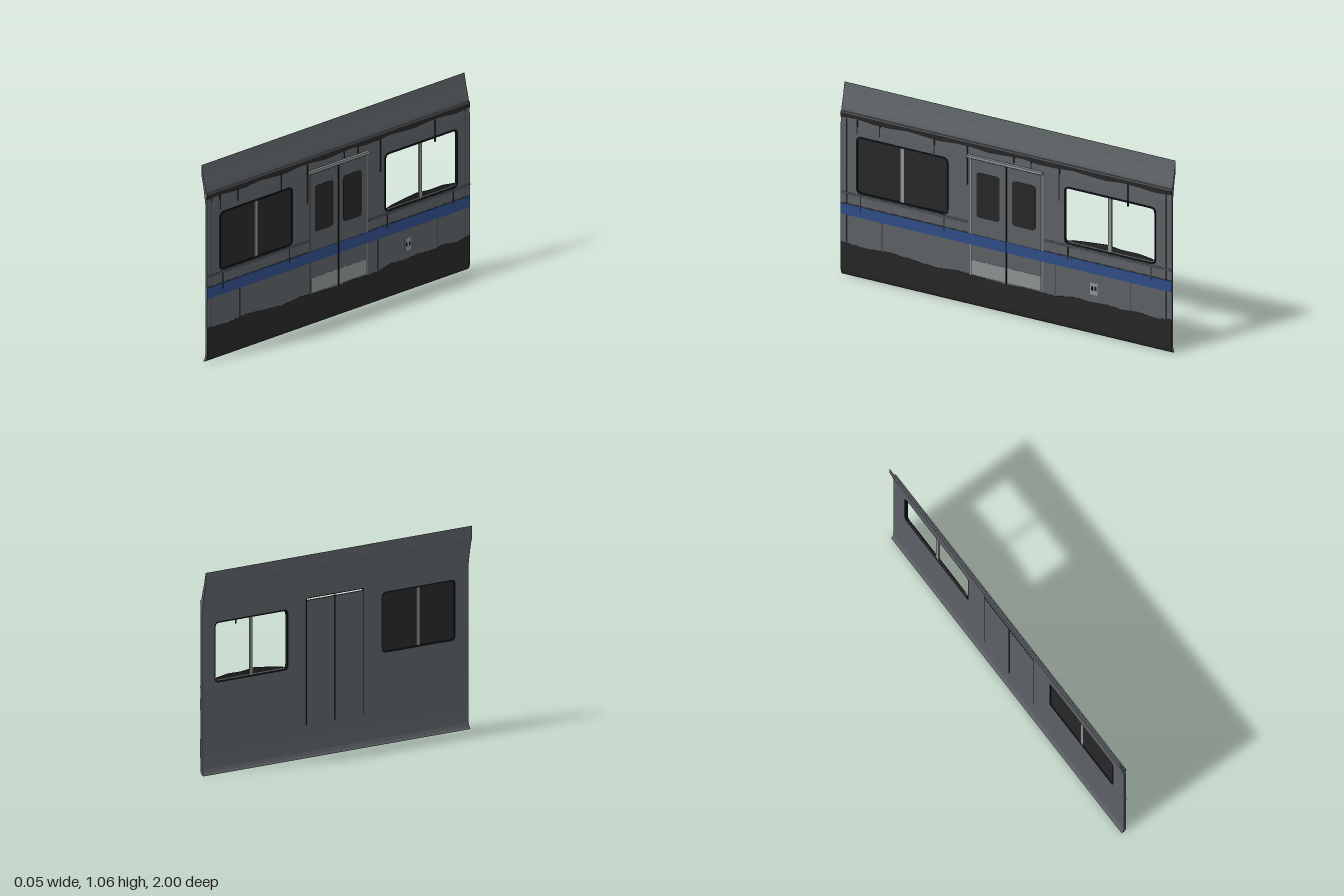
import * as THREE from 'three';

const mat = (name, color, side = THREE.FrontSide) => {
  const m = new THREE.MeshStandardMaterial({ color, side });
  m.name = name;
  return m;
};

export function createModel() {
  const body = mat('body grey', 0x5b6064);
  const dark = mat('grime', 0x262626);
  const glass = mat('dark glass', 0x272728);
  const black = mat('rubber black', 0x10161a);
  const blue = mat('stripe blue', 0x2f4c85);
  const light = mat('light metal', 0x8c9090);
  const seamMat = mat('seam grey', 0x34383a);

  const group = new THREE.Group();
  const add = (name, geo, material) => {
    const m = new THREE.Mesh(geo, material);
    m.name = name;
    group.add(m);
    return m;
  };

  // Side elevation helpers: u runs along the wall (u = -z), y is up, x is outward
  const box = (name, u0, u1, y0, y1, x0, x1, material) => {
    const g = new THREE.BoxGeometry(x1 - x0, y1 - y0, u1 - u0);
    g.translate((x0 + x1) / 2, (y0 + y1) / 2, -(u0 + u1) / 2);
    return add(name, g, material);
  };
  const plate = (name, shape, x0, x1, material) => {
    const g = new THREE.ExtrudeGeometry(shape, { depth: x1 - x0, bevelEnabled: false, curveSegments: 5 });
    g.rotateY(Math.PI / 2).translate(x0, 0, 0);
    return add(name, g, material);
  };
  const polygon = pts => new THREE.Shape(pts.map(p => new THREE.Vector2(p[0], p[1])));
  const rounded = (u0, u1, y0, y1, r, Type = THREE.Shape) => {
    const s = new Type();
    s.moveTo(u0 + r, y0);
    s.lineTo(u1 - r, y0).quadraticCurveTo(u1, y0, u1, y0 + r);
    s.lineTo(u1, y1 - r).quadraticCurveTo(u1, y1, u1 - r, y1);
    s.lineTo(u0 + r, y1).quadraticCurveTo(u0, y1, u0, y1 - r);
    s.lineTo(u0, y0 + r).quadraticCurveTo(u0, y0, u0 + r, y0);
    return s;
  };
  // Cross-section in x, y carried along the whole length
  const section = (name, pts, material) => {
    const g = new THREE.ExtrudeGeometry(polygon(pts), { depth: 2, bevelEnabled: false });
    return add(name, g.translate(0, 0, -1), material);
  };

  // Flat middle of the wall, with two window openings and a slot over the door
  const windows = [[-0.905, -0.35], [0.35, 0.905]];
  const wall = polygon([[-1, 0.1], [1, 0.1], [1, 0.84], [-1, 0.84]]);
  for (const [a, b] of windows) wall.holes.push(rounded(a, b, 0.472, 0.79, 0.03, THREE.Path));
  wall.holes.push(rounded(-0.212, 0.212, 0.817, 0.826, 0.001, THREE.Path));
  plate('wall', wall, 0, 0.011, body);

  // Curved roof edge and tucked-in lower lip
  section('roofEdge', [
    [0, 0.84], [0.011, 0.84], [0.008, 0.89], [0.002, 0.93], [-0.005, 0.96], [-0.015, 1.0], [-0.0265, 1.06],
    [-0.027, 1.06], [-0.027, 1.0], [-0.018, 0.96], [-0.011, 0.92], [-0.005, 0.88]], body);
  section('lowerLip', [
    [-0.016, 0], [-0.005, 0], [0.006, 0.012], [0.01, 0.03], [0.011, 0.1], [0, 0.1], [-0.002, 0.03], [-0.008, 0.012]], body);

  // Grime along the bottom, with an uneven upper edge
  section('lipGrime', [
    [-0.005, 0], [-0.004, 0], [0.0072, 0.011], [0.0112, 0.03], [0.012, 0.1],
    [0.011, 0.1], [0.01, 0.03], [0.006, 0.012]], dark);
  plate('lowerGrime', polygon([
    [-1, 0.1], [1, 0.1], [1, 0.19], [0.9, 0.175], [0.8, 0.187], [0.7, 0.178], [0.6, 0.185], [0.5, 0.178],
    [0.4, 0.186], [0.3, 0.165], [0.1, 0.17], [0, 0.163], [-0.15, 0.17], [-0.3, 0.178], [-0.42, 0.165],
    [-0.55, 0.175], [-0.7, 0.187], [-0.85, 0.176], [-1, 0.186]]), 0.011, 0.0121, dark);

  // Gutter and the stain beneath it
  box('gutter', -1, 1, 0.904, 0.912, 0.002, 0.013, body);
  const stain = [[-1, 0.904], [-1, 0.878]];
  for (let i = 1; i <= 20; i++) {
    stain.push([-1 + i * 0.1, 0.878 + 0.006 * Math.sin(i * 1.9)]);
  }
  stain.push([1, 0.904]);
  plate('gutterStain', polygon(stain), 0.005, 0.0112, dark);

  // Waist mouldings on both sides of the door
  for (const s of [-1, 1]) {
    const [a, b] = s < 0 ? [-1, -0.23] : [0.23, 1];
    box('waistMoulding', a, b, 0.459, 0.466, 0.01, 0.0145, body);
    box('waistShadow', a, b, 0.455, 0.459, 0.01, 0.013, seamMat);
    box('lowerMoulding', a, b, 0.401, 0.405, 0.01, 0.012, seamMat);
  }
  box('blueStripe', -1, 1, 0.34, 0.4, 0.01, 0.0128, blue);

  // Windows: rubber frame, centre bar and, on one side, the dark pane
  for (const [a, b] of windows) {
    const frame = rounded(a, b, 0.472, 0.79, 0.03);
    frame.holes.push(rounded(a + 0.008, b - 0.008, 0.481, 0.782, 0.024, THREE.Path));
    plate('windowFrame', frame, 0.001, 0.015, black);
    const mid = (a + b) / 2 + (a < 0 ? 0 : -0.002);
    box('windowBar', mid - 0.01, mid + 0.01, 0.48, 0.783, 0.003, 0.012, light);
  }
  plate('windowPane', rounded(-0.9, -0.355, 0.477, 0.785, 0.025), 0.005, 0.009, glass);
  box('windowSill', 0.375, 0.885, 0.481, 0.486, 0.003, 0.012, light);
  plate('sillDirt', polygon([
    [0.365, 0.487], [0.885, 0.487], [0.885, 0.497], [0.8, 0.508], [0.7, 0.507], [0.6, 0.516],
    [0.5, 0.507], [0.4, 0.496]]), 0.004, 0.008, dark);

  // Double door: panes, kick plates, outline and centre joint
  for (const s of [-1, 1]) {
    const [a, b] = s < 0 ? [-0.18, -0.04] : [0.036, 0.176];
    plate('doorPane', rounded(a, b, 0.5, 0.75, 0.02), 0.01, 0.0122, glass);
    const [k0, k1] = s < 0 ? [-0.208, -0.006] : [0.006, 0.208];
    box('kickPlate', k0, k1, 0.176, 0.256, 0.01, 0.0122, light);
    box('doorEdge', s * 0.216 - 0.003, s * 0.216 + 0.003, 0.17, 0.828, 0.01, 0.0125, light);
    box('doorEdgeSeam', s * 0.211 - 0.002, s * 0.211 + 0.002, 0.17, 0.815, 0.01, 0.0122, seamMat);
    box('innerDoorSeam', s * 0.215 - 0.002, s * 0.215 + 0.002, 0.17, 0.828, -0.0008, 0.001, black);
  }
  box('doorJoint', -0.004, 0.004, 0.165, 0.817, 0.01, 0.0132, black);
  box('innerDoorJoint', -0.003, 0.003, 0.17, 0.828, -0.0008, 0.001, black);
  box('innerDoorTop', -0.215, 0.215, 0.827, 0.83, -0.0008, 0.001, black);
  box('doorHood', -0.232, 0.225, 0.826, 0.841, 0.009, 0.027, light);

  // Panel seams: position along the wall, bottom, top
  const seams = [
    [-0.965, 0.18, 0.875], [0.965, 0.18, 0.875], [-0.75, 0.18, 0.34], [0.3, 0.17, 0.34], [0.75, 0.18, 0.34]];
  for (const [u, y0, y1] of seams) box('panelSeam', u - 0.002, u + 0.002, y0, y1, 0.006, 0.0122, seamMat);

  // Dirt runs below the gutter and the window corners
  const runs = [
    [-0.9, 0.8, 0.88], [-0.765, 0.815, 0.88], [-0.435, 0.79, 0.88], [-0.235, 0.67, 0.88], [0.045, 0.845, 0.88],
    [0.15, 0.84, 0.88], [0.32, 0.7, 0.88], [0.735, 0.76, 0.88], [-0.88, 0.37, 0.46],
    [-0.375, 0.38, 0.46], [0.372, 0.38, 0.46], [0.875, 0.38, 0.46]];
  for (const [u, y0, y1] of runs) box('dirtRun', u - 0.003, u + 0.003, y0, y1, 0.007, 0.0135, dark);

  // Small service panel
  box('servicePanel', 0.508, 0.552, 0.222, 0.29, 0.01, 0.0125, light);
  for (const u of [0.519, 0.541]) box('servicePanelCatch', u - 0.005, u + 0.005, 0.247, 0.268, 0.012, 0.0132, black);

  return group;
}
